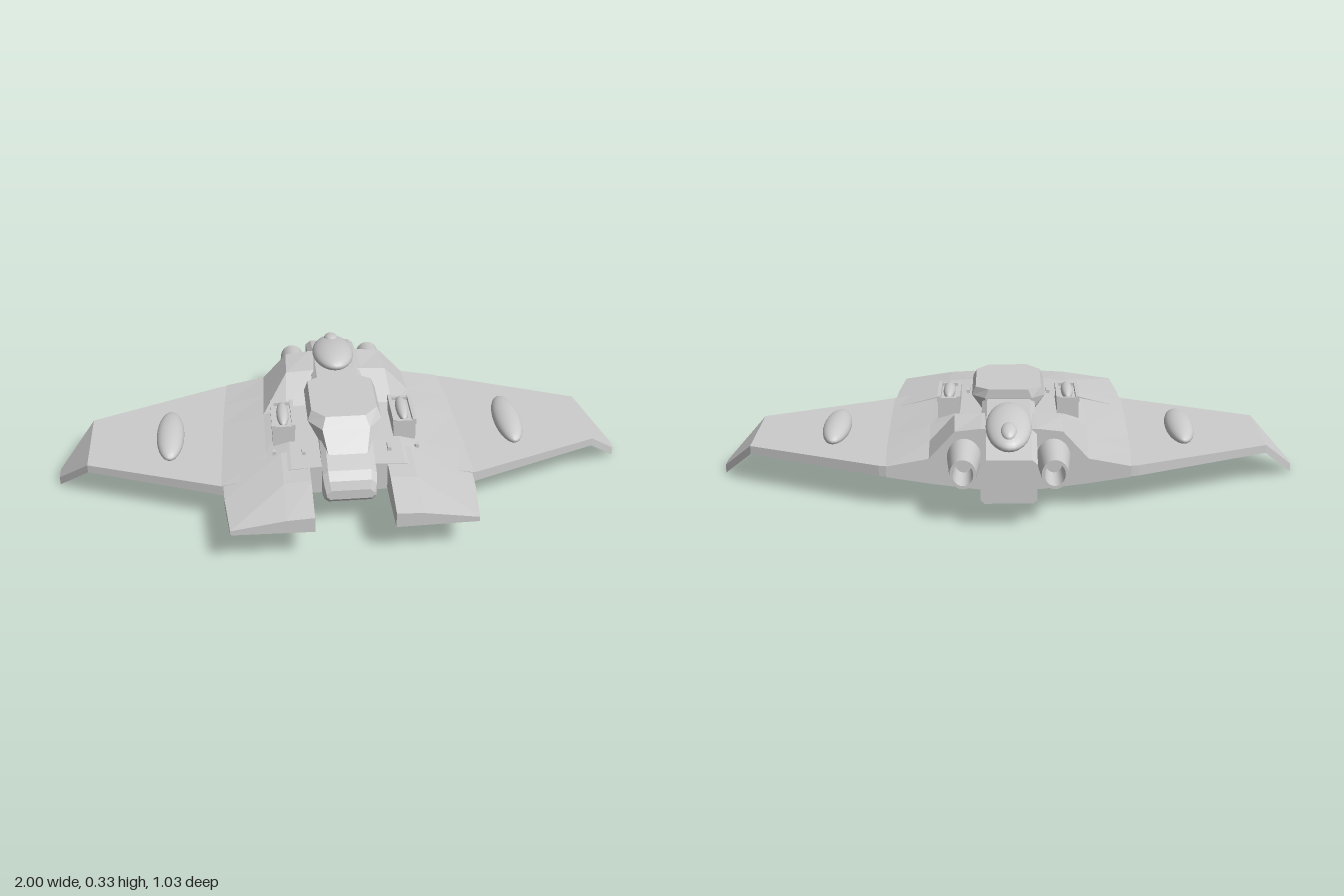
import * as THREE from 'three';

const mat = new THREE.MeshStandardMaterial({ color: 0xcccccc, flatShading: true });
const smooth = new THREE.MeshStandardMaterial({ color: 0xcccccc });
const openMat = new THREE.MeshStandardMaterial({ color: 0xcccccc, side: THREE.DoubleSide });

// Closed solid skinned through rings of [x, y, z]; winding is turned outwards by signed volume
function loft(rings) {
  const n = rings[0].length, tris = [];
  for (let i = 0; i < rings.length - 1; i++) {
    for (let j = 0; j < n; j++) {
      const k = (j + 1) % n;
      const [a, b, c, d] = [rings[i][j], rings[i][k], rings[i + 1][k], rings[i + 1][j]];
      tris.push([a, b, c], [a, c, d]);
    }
  }
  const cap = (ring, flip) => {
    const mid = [0, 1, 2].map(q => ring.reduce((s, p) => s + p[q], 0) / n);
    ring.forEach((p, j) => {
      const next = ring[(j + 1) % n];
      tris.push(flip ? [mid, next, p] : [mid, p, next]);
    });
  };
  cap(rings[0], true);
  cap(rings[rings.length - 1], false);
  const o = new THREE.Vector3(...rings[0][0]);
  let volume = 0;
  for (const t of tris) {
    const [a, b, c] = t.map(p => new THREE.Vector3(...p).sub(o));
    volume += a.dot(b.cross(c));
  }
  if (volume < 0) tris.forEach(t => t.reverse());
  const g = new THREE.BufferGeometry();
  g.setAttribute('position', new THREE.Float32BufferAttribute(tris.flat(2), 3));
  g.computeVertexNormals();
  return g;
}

// Symmetric section at z from a half outline listed top centre to bottom centre
const section = (z, half) => [
  ...half.map(([x, y]) => [x, y, z]),
  ...half.slice(1, -1).reverse().map(([x, y]) => [-x, y, z]),
];

export function createModel() {
  const model = new THREE.Group();
  const add = (name, geometry, material = mat, parent = model) => {
    const m = new THREE.Mesh(geometry, material);
    m.name = name;
    parent.add(m);
    return m;
  };
  const ellipsoid = (name, parent, pos, radii) => {
    const m = add(name, new THREE.SphereGeometry(1, 28, 18), smooth, parent);
    m.position.set(...pos);
    m.scale.set(...radii);
    return m;
  };
  const box = (name, parent, size, pos) =>
    add(name, new THREE.BoxGeometry(...size), mat, parent).position.set(...pos);

  // Broad hull blending into the wing roots, with raised rear shoulders
  const hull = [ // z, top, shoulder x, shoulder y, slope x, slope y, edge x, belly
    [0.28, 0.215, 0.19, 0.21, 0.27, 0.19, 0.425, 0.11],
    [0.15, 0.22, 0.19, 0.215, 0.27, 0.193, 0.422, 0.088],
    [-0.09, 0.225, 0.19, 0.22, 0.27, 0.193, 0.415, 0.07],
    [-0.22, 0.29, 0.18, 0.285, 0.265, 0.19, 0.41, 0.068],
    [-0.36, 0.29, 0.175, 0.28, 0.26, 0.185, 0.4, 0.076],
  ];
  add('hull', loft(hull.map(([z, t, sx, sy, lx, ly, ex, b]) => section(z, [
    [0, t], [0.09, t], [sx, sy], [lx, ly], [ex, 0.158], [ex, 0.12],
    [0.25, (b + 0.115) / 2], [0.1, b], [0, b],
  ]))));

  // Central fuselage with rounded nose and tapering tail
  const core = [ // z, half width, bottom, top
    [0.352, 0.08, 0.13, 0.165],
    [0.34, 0.087, 0.115, 0.195],
    [0.31, 0.09, 0.107, 0.216],
    [0.24, 0.09, 0.095, 0.24],
    [0.12, 0.09, 0.08, 0.27],
    [-0.09, 0.09, 0.062, 0.297],
    [-0.22, 0.09, 0.062, 0.296],
    [-0.36, 0.09, 0.073, 0.288],
    [-0.46, 0.09, 0.088, 0.262],
    [-0.515, 0.09, 0.098, 0.247],
  ];
  add('fuselage', loft(core.map(([z, w, b, t]) => section(z, [
    [0, t], [w * 0.8, t], [w, t - 0.015], [w, b + 0.012], [w * 0.85, b], [0, b],
  ]))));

  // Faceted canopy, widest just below its flat roof
  const octagon = (y, w, front, back, cx, cz) => [
    [w - cx, y, front], [w, y, front - cz], [w, y, back + cz * 0.6], [w - cx, y, back],
    [cx - w, y, back], [-w, y, back + cz * 0.6], [-w, y, front - cz], [cx - w, y, front],
  ];
  add('canopy', loft([
    octagon(0.235, 0.085, 0.25, -0.1, 0.02, 0.08),
    octagon(0.3, 0.125, 0.19, -0.105, 0.045, 0.06),
    octagon(0.332, 0.112, 0.16, -0.105, 0.045, 0.05),
  ]));

  // Dorsal dome and its small cap, leaning down towards the tail
  ellipsoid('dorsalDome', model, [0, 0.29, -0.34], [0.075, 0.04, 0.148]).rotation.x = -0.14;
  ellipsoid('domeCap', model, [0, 0.305, -0.42], [0.026, 0.02, 0.045]).rotation.x = -0.2;

  for (const s of [1, -1]) {
    const side = new THREE.Group();
    side.name = s > 0 ? 'leftSide' : 'rightSide';
    model.add(side);

    // Wing with drooped tip
    const wing = [ // x, front z, back z, bottom, top
      [0.38, 0.295, -0.36, 0.12, 0.158],
      [0.425, 0.28, -0.35, 0.12, 0.157],
      [0.88, 0.11, -0.17, 0.123, 0.152],
      [1, 0, -0.05, 0, 0.03],
    ];
    const rib = ([x, f, r, b, t]) => [[s * x, b, f], [s * x, t, f], [s * x, t, r], [s * x, b, r]];
    add('wing', loft(wing.slice(0, 3).map(rib)), mat, side);
    add('wingTip', loft(wing.slice(2).map(rib)), mat, side);

    // Forward prong
    const prong = [ // z, inner top, ridge top, outer x, outer top, bottom
      [0.18, 0.215, 0.21, 0.422, 0.157, 0.112],
      [0.35, 0.21, 0.203, 0.416, 0.156, 0.118],
      [0.515, 0.185, 0.18, 0.4, 0.152, 0.13],
    ];
    add('prong', loft(prong.map(([z, it, rt, ox, ot, b]) => [
      [s * 0.13, it, z], [s * 0.22, rt, z], [s * ox, ot, z], [s * ox, b + 0.005, z], [s * 0.13, b, z],
    ])), mat, side);

    // Pod on the wing
    ellipsoid('wingPod', side, [s * 0.6, 0.165, -0.025], [0.048, 0.034, 0.146]);

    // Shoulder housing: block, raised rim and a slim pod in the tray
    const housing = new THREE.Group();
    housing.name = 'shoulderHousing';
    housing.position.set(s * 0.207, 0, 0.042);
    housing.rotation.z = 0;
    side.add(housing);
    box('housingBase', housing, [0.076, 0.065, 0.164], [0, 0.233, 0]);
    for (const e of [1, -1]) {
      box('housingRail', housing, [0.012, 0.02, 0.164], [e * 0.034, 0.272, 0]);
      box('housingEnd', housing, [0.06, 0.015, 0.012], [0, 0.27, e * 0.076]);
    }
    ellipsoid('housingPod', housing, [0, 0.276, 0], [0.021, 0.02, 0.072]);

    // Small studs on the hull
    box('stud', side, [0.012, 0.015, 0.014], [s * 0.243, 0.209, 0.175]);
    box('vent', side, [0.012, 0.02, 0.035], [s * 0.145, 0.218, 0.19]);

    // Hollow engine nozzle
    const profile = [[0.066, 0], [0.05, 0.14], [0.039, 0.14], [0.032, 0.05], [0, 0.05]];
    const nozzle = add('nozzle', new THREE.LatheGeometry(
      profile.flatMap(([r, y], i) => {
        const p = new THREE.Vector2(r, y);
        return i > 0 && i < 4 ? [p, p.clone()] : [p];
      }), 24), openMat, side);
    nozzle.scale.x = 0.85;
    nozzle.rotation.x = -Math.PI / 2;
    nozzle.position.set(s * 0.145, 0.19, -0.358);
  }
  return model;
}
